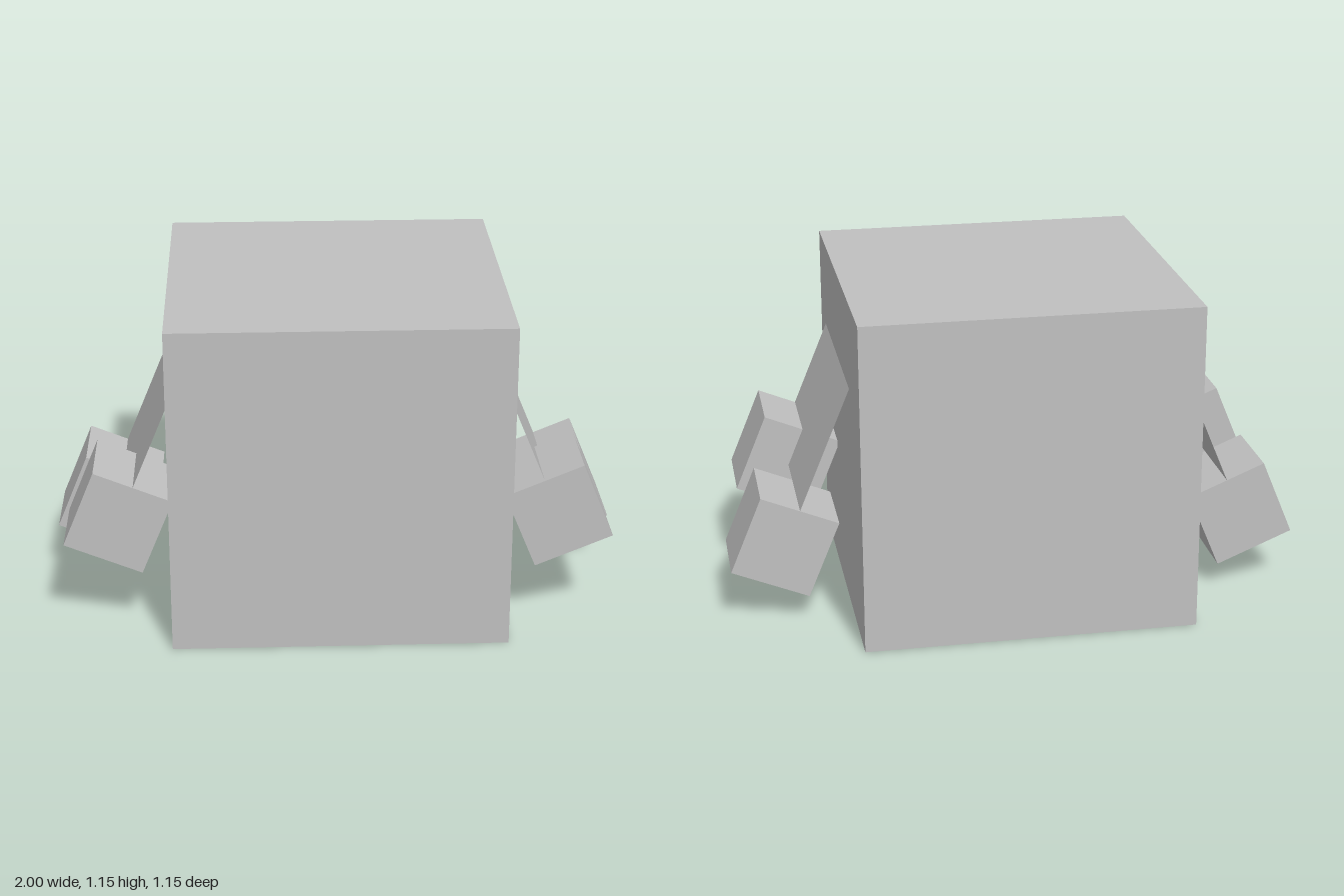
import * as THREE from 'three';

const U = 1.154 / 8; // modelling unit: the body is 8 units wide

export function createModel() {
  const model = new THREE.Group();
  model.name = 'cubeCreature';
  const grey = new THREE.MeshStandardMaterial({ color: 0xc0c0c0, side: THREE.DoubleSide });
  grey.name = 'plain grey';

  function add(parent, name, geometry, x, y, z) {
    const mesh = new THREE.Mesh(geometry, grey);
    mesh.name = name;
    mesh.position.set(x * U, y * U, z * U);
    parent.add(mesh);
    return mesh;
  }

  // Body cube standing on the ground
  add(model, 'body', new THREE.BoxGeometry(8 * U, 8 * U, 8 * U), 0, 4, 0);

  // Mirrored arms: a thin slanted sheet with two cube fingers at its lower edge
  for (const side of [1, -1]) {
    const arm = new THREE.Group();
    arm.name = side > 0 ? 'leftArm' : 'rightArm';
    arm.position.set(side * 0.756, 0.41, 0);
    arm.rotation.z = side * Math.PI / 8;

    const sheet = new THREE.PlaneGeometry(5 * U, 4 * U).rotateY(side * Math.PI / 2);
    add(arm, 'armSheet', sheet, 0, 2, 0.5);
    const finger = new THREE.BoxGeometry(2 * U, 2 * U, 2 * U);
    add(arm, 'frontFinger', finger, 0, 0, 2);
    add(arm, 'backFinger', finger, 0, -1, -1);
    model.add(arm);
  }
  return model;
}
